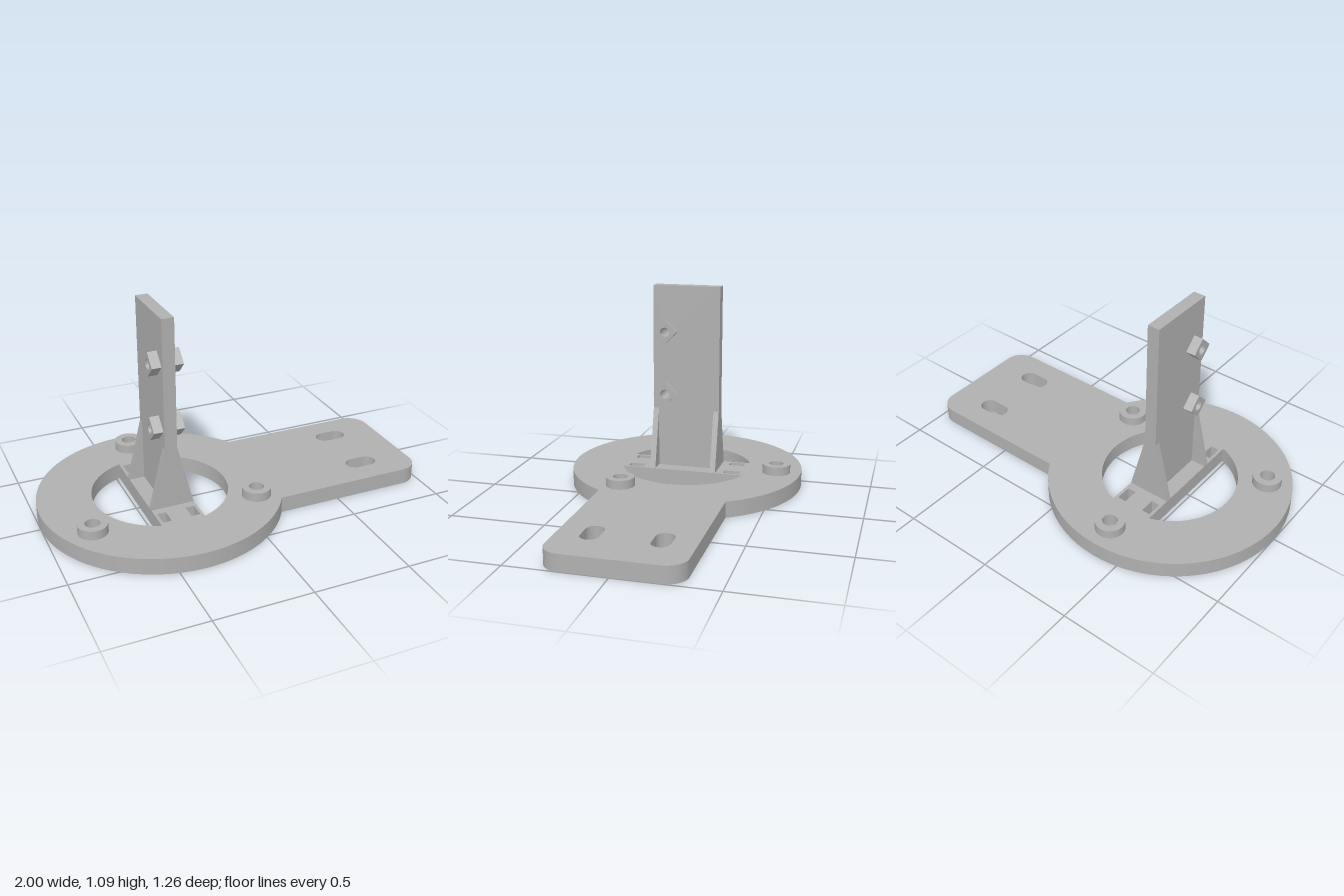
import * as THREE from 'three';
import { toCreasedNormals } from 'three/addons/utils/BufferGeometryUtils.js';

const CX = -0.368;          // ring and upright centre
const PLATE = 0.085;        // base thickness
const OUTER = 0.632, INNER = 0.352;
const BRIDGE = 0.113;       // half width of the bar across the ring
const ARM = 0.333;          // half width of the mounting arm
const BOLT_R = 0.038;

const grey = new THREE.MeshStandardMaterial({ color: 0xb0b0b0 });
grey.name = 'grey';

function circlePath(x, y, r) {
  return new THREE.Path().absarc(x, y, r, 0, Math.PI * 2, true);
}

function rectPath(x0, x1, y0, y1) {
  return new THREE.Path([[x0, y0], [x1, y0], [x1, y1], [x0, y1]].map(p => new THREE.Vector2(...p)));
}

function slotPath(x0, x1, y, r) {
  const p = new THREE.Path();
  p.absarc(x1 - r, y, r, -Math.PI / 2, Math.PI / 2, false);
  p.absarc(x0 + r, y, r, Math.PI / 2, Math.PI * 1.5, false);
  p.closePath();
  return p;
}

function extrude(shape, depth) {
  const g = new THREE.ExtrudeGeometry(shape, { depth, bevelEnabled: false, curveSegments: 40 });
  return toCreasedNormals(g, 0.5);
}

export function createModel() {
  const model = new THREE.Group();
  model.name = 'mountingBracket';
  const add = (name, geometry) => {
    const mesh = new THREE.Mesh(geometry, grey);
    mesh.name = name;
    model.add(mesh);
    return mesh;
  };

  // Bolt positions, three around the ring (plan coordinates, y = -z)
  const bolts = [90, 210, 330].map(d => {
    const a = THREE.MathUtils.degToRad(d);
    return [CX + 0.5 * Math.cos(a), 0.5 * Math.sin(a)];
  });

  // Base: ring joined to a round-cornered arm
  const join = Math.asin(ARM / OUTER), corner = 0.1;
  const base = new THREE.Shape();
  base.absarc(CX, 0, OUTER, join, Math.PI * 2 - join, false);
  base.absarc(1 - corner, -ARM + corner, corner, -Math.PI / 2, 0, false);
  base.absarc(1 - corner, ARM - corner, corner, 0, Math.PI / 2, false);
  base.closePath();

  // Two openings either side of the bridge
  const open = Math.acos(BRIDGE / INNER);
  for (const turn of [0, Math.PI]) {
    const segment = new THREE.Path();
    segment.absarc(CX, 0, INNER, turn - open, turn + open, false);
    segment.closePath();
    base.holes.push(segment);
  }
  // Bolt holes, cable-tie slots in the bridge and long slots in the arm
  for (const [x, y] of bolts) base.holes.push(circlePath(x, y, BOLT_R));
  for (const s of [-1, 1]) {
    base.holes.push(slotPath(0.645, 0.815, s * 0.168, 0.046));
    const y = s * 0.268;
    for (const t of [-1, 1]) {
      const x = CX + t * 0.075;
      base.holes.push(rectPath(x - 0.023, x + 0.023, y - 0.042, y + 0.042));
    }
  }
  add('basePlate', extrude(base, PLATE).rotateX(-Math.PI / 2));

  // Raised collars round the bolt holes
  for (const [x, y] of bolts) {
    const ring = new THREE.Shape().absarc(x, y, 0.075, 0, Math.PI * 2, false);
    ring.holes.push(circlePath(x, y, BOLT_R));
    add('boltCollar', extrude(ring, 0.048).rotateX(-Math.PI / 2)).position.y = PLATE;
  }

  // Upright plate with two cross holes (drawn in -z, y and extruded along x)
  const half = 0.032, pinZ = 0.108, pinR = 0.025, pinHeights = [0.5, 0.84];
  const upright = new THREE.Shape([[-0.183, PLATE], [0.183, PLATE], [0.183, 1.085], [-0.183, 1.085]]
    .map(p => new THREE.Vector2(...p)));
  for (const y of pinHeights) upright.holes.push(circlePath(-pinZ, y, pinR));
  add('upright', extrude(upright, half * 2).rotateY(Math.PI / 2)).position.x = CX - half;

  // Diamond blocks on both faces, drilled through
  for (const y of pinHeights) {
    const d = 0.063;
    const diamond = new THREE.Shape([[d, 0], [0, d], [-d, 0], [0, -d]].map(p => new THREE.Vector2(...p)));
    diamond.holes.push(circlePath(0, 0, pinR));
    for (const x of [CX - 0.081, CX + half]) {
      add('diamondBlock', extrude(diamond, 0.049).rotateY(Math.PI / 2)).position.set(x, y, pinZ);
    }
  }

  // Triangular gussets at both edges of the upright
  for (const s of [-1, 1]) {
    const pts = [[s * half, PLATE], [s * BRIDGE, PLATE], [s * half, 0.41]].map(p => new THREE.Vector2(...p));
    for (const z of [-0.183, 0.153]) {
      add('gusset', extrude(new THREE.Shape(pts), 0.03)).position.set(CX, 0, z);
    }
  }
  return model;
}
